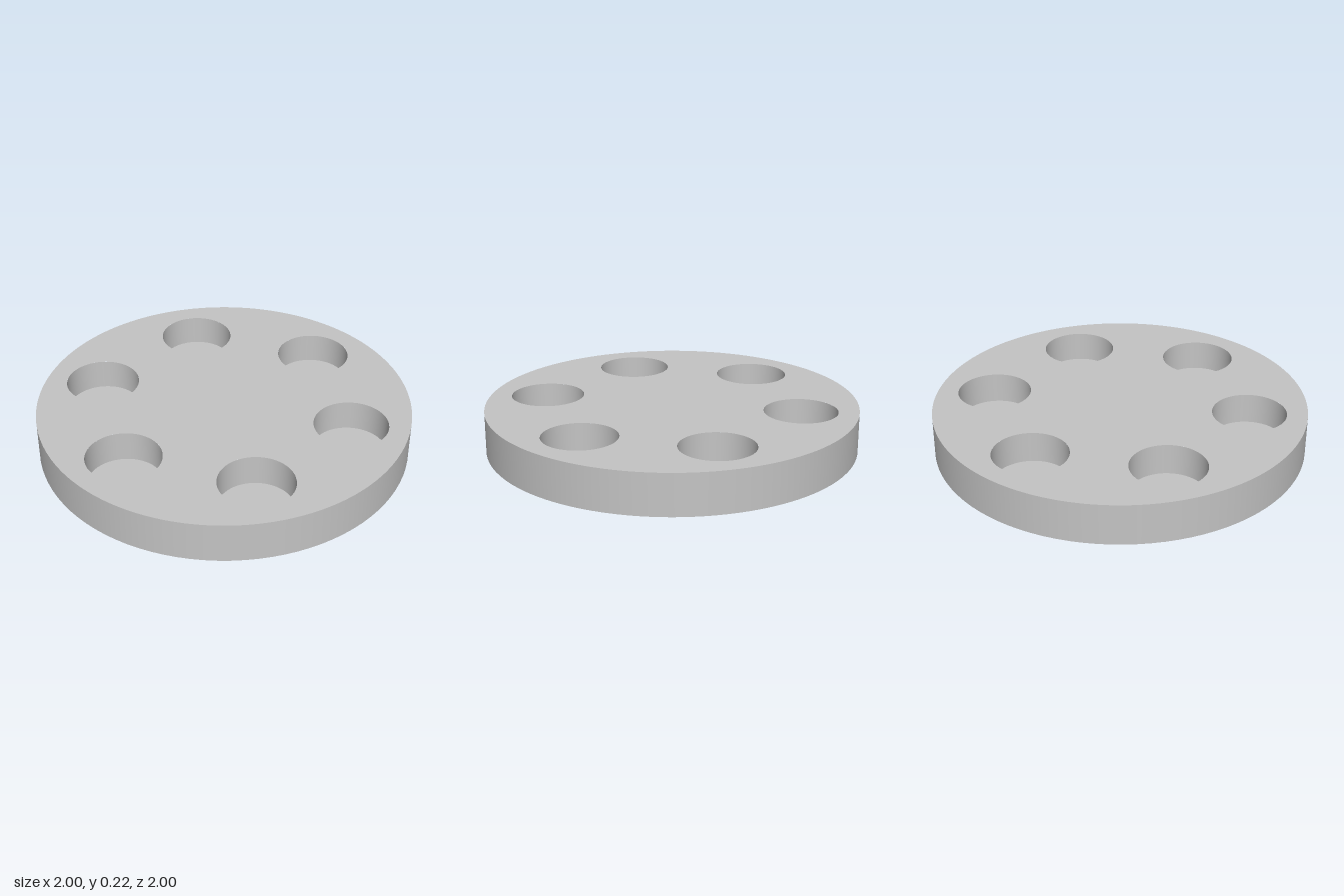
import * as THREE from 'three';

const HEIGHT = 0.222, POCKET_FLOOR = 0.055;
const POCKET_RADIUS = 0.197, PITCH_RADIUS = 0.694, POCKETS = 6, SEGMENTS = 96;

export function createModel() {
  const group = new THREE.Group();
  group.name = 'pocketedDisc';
  const grey = new THREE.MeshStandardMaterial({ name: 'grey', color: 0xc4c4c4 });

  const add = (name, geometry, x = 0, y = 0, z = 0) => {
    const mesh = new THREE.Mesh(geometry, grey);
    mesh.name = name;
    mesh.position.set(x, y, z);
    group.add(mesh);
  };

  // Pocket centres evenly spaced on a circle
  const centres = Array.from({ length: POCKETS }, (_, i) => {
    const a = (i / POCKETS) * Math.PI * 2;
    return [PITCH_RADIUS * Math.cos(a), PITCH_RADIUS * Math.sin(a)];
  });

  // Top face with round openings
  const face = new THREE.Shape().absarc(0, 0, 1, 0, Math.PI * 2, false);
  for (const [x, z] of centres) {
    face.holes.push(new THREE.Path().absarc(x, -z, POCKET_RADIUS, 0, Math.PI * 2, true));
  }
  add('topFace', new THREE.ShapeGeometry(face, SEGMENTS).rotateX(-Math.PI / 2), 0, HEIGHT, 0);

  // Rim and underside
  add('outerRim', new THREE.CylinderGeometry(1, 1, HEIGHT, SEGMENTS, 1, true), 0, HEIGHT / 2, 0);
  add('underside', new THREE.CircleGeometry(1, SEGMENTS).rotateX(Math.PI / 2));

  // Blind pockets: inward-facing wall (profile runs downwards) and a flat floor
  const wall = new THREE.LatheGeometry([
    new THREE.Vector2(POCKET_RADIUS, HEIGHT),
    new THREE.Vector2(POCKET_RADIUS, POCKET_FLOOR),
  ], SEGMENTS);
  const floor = new THREE.CircleGeometry(POCKET_RADIUS, SEGMENTS).rotateX(-Math.PI / 2);
  for (const [x, z] of centres) {
    add('pocketWall', wall, x, 0, z);
    add('pocketFloor', floor, x, POCKET_FLOOR, z);
  }
  return group;
}
